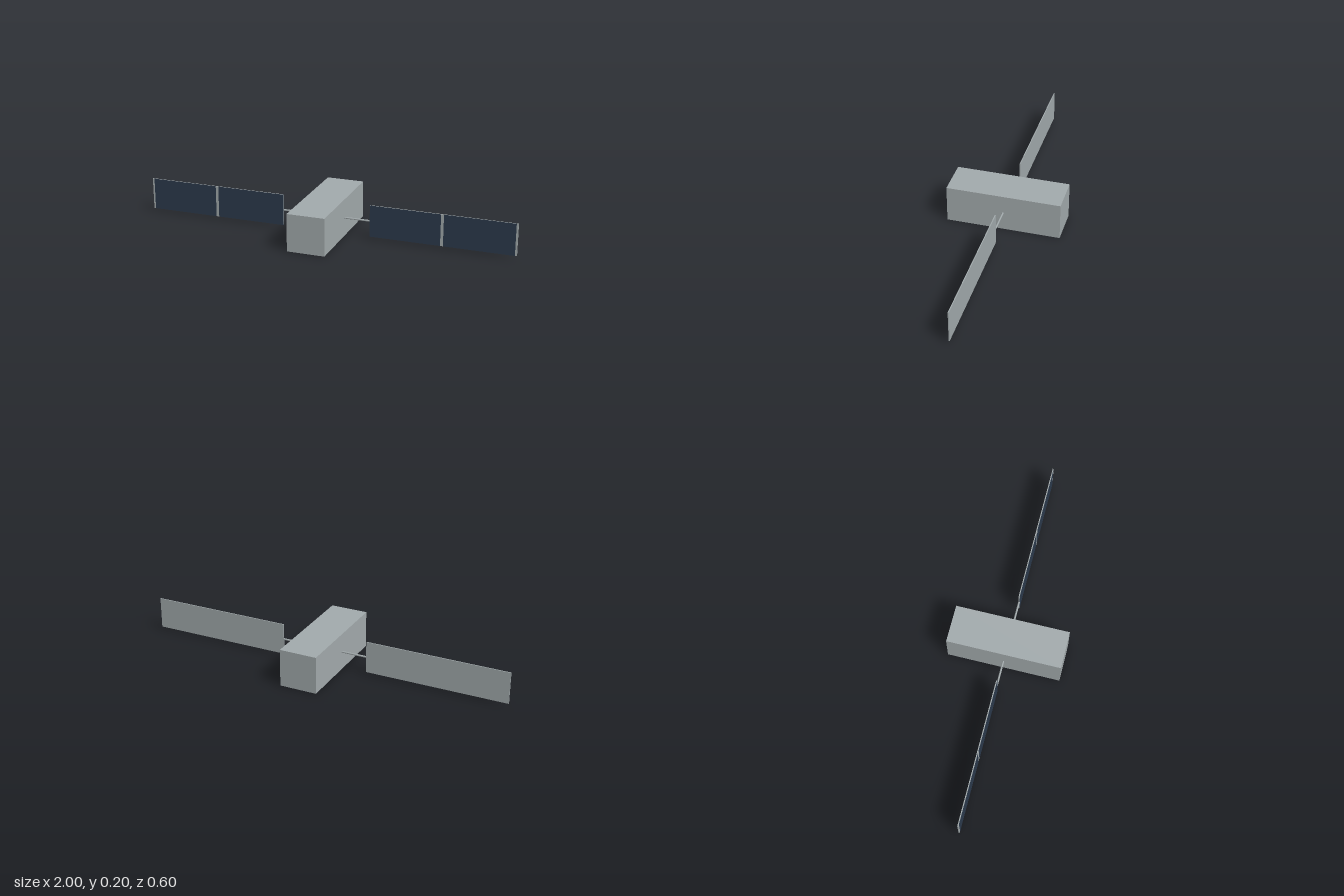
import * as THREE from 'three';

export function createModel() {
  const model = new THREE.Group();
  model.name = 'satellite';
  const hull = new THREE.MeshStandardMaterial({ name: 'hull grey', color: 0xa3abad });
  const cellBlue = new THREE.MeshStandardMaterial({ name: 'solar cell navy', color: 0x2c3a4d });

  function add(parent, name, geometry, material, x, y, z) {
    const mesh = new THREE.Mesh(geometry, material);
    mesh.name = name;
    mesh.position.set(x, y, z);
    parent.add(mesh);
    return mesh;
  }

  // Central bus
  add(model, 'body', new THREE.BoxGeometry(0.2, 0.2, 0.6), hull, 0, 0.1, 0);

  // One wing on each side: boom, backing panel and two solar cells on its front
  const inner = 0.237, height = 0.17, thickness = 0.005;
  const cells = [[inner, 0.61], [0.625, 0.99]];
  for (const side of [1, -1]) {
    const wing = new THREE.Group();
    wing.name = side > 0 ? 'leftWing' : 'rightWing';
    model.add(wing);

    const boom = new THREE.CylinderGeometry(0.005, 0.005, inner - 0.1, 8);
    add(wing, 'boom', boom, hull, side * (inner + 0.1) / 2, 0.1, 0).rotation.z = Math.PI / 2;

    const panel = new THREE.BoxGeometry(1 - inner, height, thickness);
    add(wing, 'panel', panel, hull, side * (1 + inner) / 2, 0.1, 0);

    for (const [a, b] of cells) {
      const cell = new THREE.PlaneGeometry(b - a, height);
      add(wing, 'solarCell', cell, cellBlue, side * (a + b) / 2, 0.1, thickness / 2 + 0.0006);
    }
  }
  return model;
}
